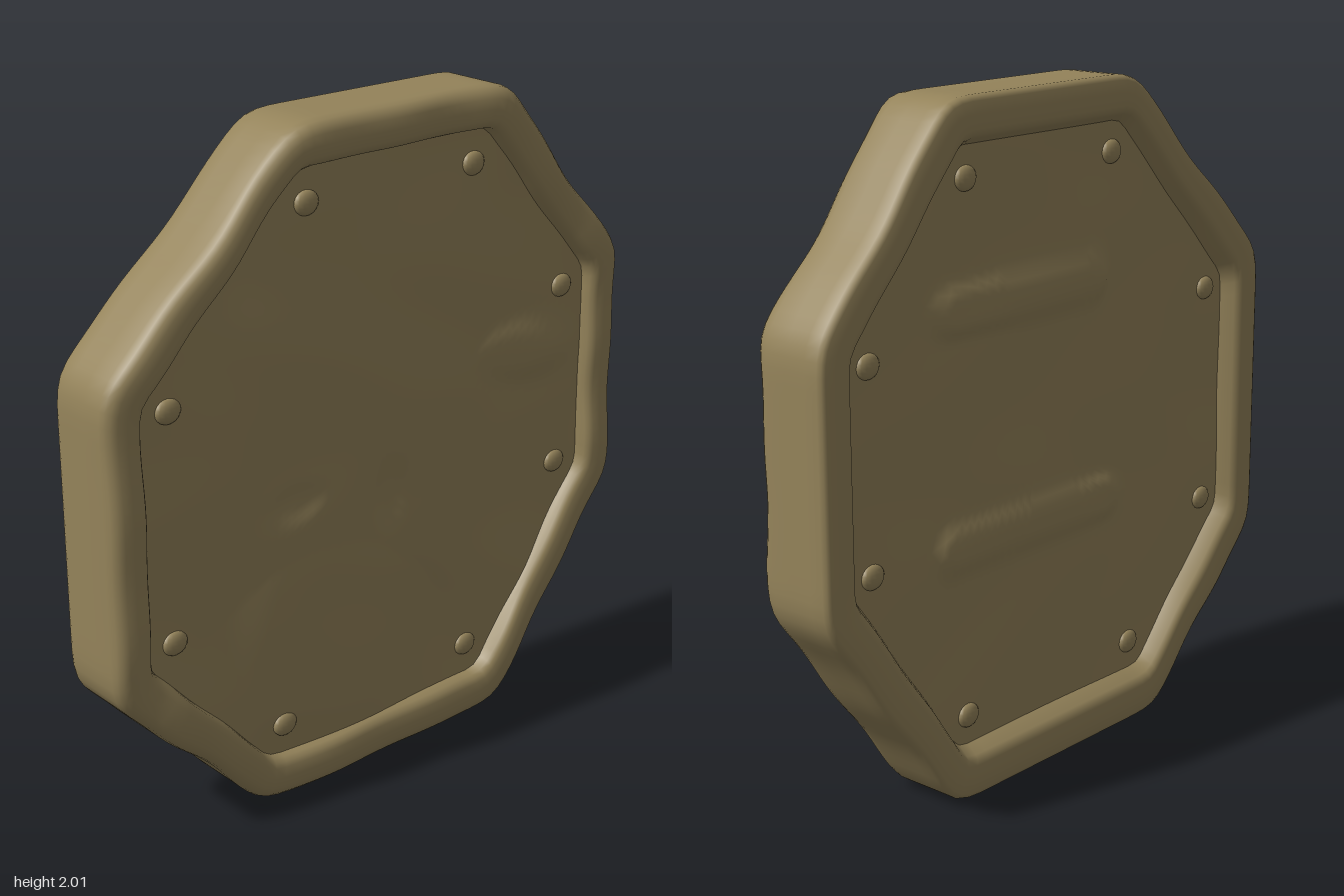
import * as THREE from 'three';
import { toCreasedNormals } from 'three/addons/utils/BufferGeometryUtils.js';

const SEG = 20; // samples per octagon edge
const OUTER = [[0.31, 2.005], [-0.47, 2.005], [-0.955, 1.43], [-0.955, 0.66], [-0.47, -0.005], [0.45, -0.005], [0.95, 0.49], [0.95, 1.4]];
const INNER = [[0.3, 1.885], [-0.41, 1.885], [-0.84, 1.38], [-0.84, 0.72], [-0.42, 0.125], [0.42, 0.125], [0.835, 0.56], [0.835, 1.34]];

// Sampled octagon outline in (z, y) with softened, slightly worn corners
function outline(corners, smooth, wear) {
  let pts = [];
  corners.forEach((a, i) => {
    const b = corners[(i + 1) % 8];
    for (let k = 0; k < SEG; k++) {
      const t = k / SEG, z = a[0] + (b[0] - a[0]) * t, y = a[1] + (b[1] - a[1]) * t;
      // diagonal edges are more worn than the straight ones
      const w = 1 - wear * (i % 2) * Math.sin(Math.PI * t) * (0.6 + Math.sin(t * 11 + i * 2));
      pts.push([z * w, 1 + (y - 1) * w]);
    }
  });
  for (let n = 0; n < smooth; n++) {
    pts = pts.map((p, i) => {
      const q = pts[(i + pts.length - 1) % pts.length], r = pts[(i + 1) % pts.length];
      return [(q[0] + 2 * p[0] + r[0]) / 4, (q[1] + 2 * p[1] + r[1]) / 4];
    });
  }
  return pts;
}

const outer = outline(OUTER, 3, 0.009);
const inner = outline(INNER, 1, 0.004);
const COUNT = outer.length;

// Skin a list of closed rings, each an array of [x, y, z]
function loft(rings) {
  const pos = rings.flat(2), idx = [];
  for (let i = 0; i < rings.length - 1; i++) {
    for (let j = 0; j < COUNT; j++) {
      const k = (j + 1) % COUNT;
      const a = i * COUNT + j, c = i * COUNT + k, b = a + COUNT, d = c + COUNT;
      idx.push(a, c, b, c, d, b);
    }
  }
  const g = new THREE.BufferGeometry();
  g.setAttribute('position', new THREE.Float32BufferAttribute(pos, 3));
  g.setIndex(idx);
  return toCreasedNormals(g, 0.75);
}

// Relief helpers
const bump = (z, y, cz, cy, rz, ry) => Math.exp(-Math.pow(((z - cz) / rz) ** 2 + ((y - cy) / ry) ** 2, 2));
const uneven = (z, y) => 0.0025 * (Math.sin(z * 9 + 2 * Math.sin(y * 7)) + Math.sin(y * 12 - z * 5));
function ridge(z, y, z0, z1, cy, half) {
  const dz = Math.max(z0 - z, z - z1, 0);
  return 1 - THREE.MathUtils.smoothstep(Math.hypot(dz, y - cy), half * 0.4, half);
}

// Obverse: large worn mound with a brow ridge and a tapering base
function obverse(z, y) {
  const mound = Math.max(
    bump(z, y, 0.07, 1.12, 0.56, 0.6),
    bump(z, y, 0.18, 0.5, 0.34, 0.4),
    0.8 * bump(z - (y - 1.15) * 0.8, y, -0.55, 1.17, 0.22, 0.1));
  const pits = bump(z, y, 0.32, 0.92, 0.09, 0.05) + bump(z, y, -0.03, 0.85, 0.06, 0.1);
  return 0.07 + 0.03 * mound - 0.008 * pits + uneven(z, y);
}

// Reverse: flat field with two plain raised bars
function reverse(z, y) {
  const bars = Math.max(ridge(z, y, -0.42, 0.18, 1.42, 0.09), ridge(z, y, -0.42, 0.24, 0.74, 0.09));
  return -0.08 - 0.018 * bars + 0.4 * uneven(z, y);
}

// Face disc from the centre out to the recess edge
function faceRings(height) {
  const rings = [];
  for (let n = 0; n <= 32; n++) {
    const t = (n / 32) * 1.005;
    rings.push(inner.map(([pz, py]) => {
      const z = pz * t, y = 1 + (py - 1) * t;
      return [height(z, y), y, z];
    }));
  }
  return rings;
}

// Rim cross-section: [fraction from outer to inner outline, x]
const RIM = [
  [1.08, 0.06], [1.04, 0.078], [1, 0.1], [0.92, 0.112], [0.8, 0.118], [0.55, 0.12], [0.3, 0.118], [0.14, 0.11],
  [0.04, 0.095], [0, 0.07], [0, 0], [0, -0.07], [0, -0.115], [0.04, -0.128], [0.13, -0.134],
  [0.4, -0.135], [0.75, -0.135], [0.88, -0.131], [0.96, -0.12], [1.12, -0.085], [1.18, -0.07],
];

function rimRings() {
  return RIM.map(([s, x]) => outer.map(([oz, oy], j) => {
    const z = oz + (inner[j][0] - oz) * s, y = oy + (inner[j][1] - oy) * s;
    const u = (j / COUNT) * Math.PI * 2;
    // battered waviness on the obverse side only
    const wave = x > 0.09 ? 0.004 * (Math.sin(u * 9) + Math.sin(u * 17 + 1)) - 0.003 : 0;
    return [x + wave, y, z];
  }));
}

export function createModel() {
  const group = new THREE.Group();
  group.name = 'octagonalCoin';
  const bronze = new THREE.MeshStandardMaterial({ color: 0x94835a });
  const add = (name, geometry) => {
    const mesh = new THREE.Mesh(geometry, bronze);
    mesh.name = name;
    group.add(mesh);
    return mesh;
  };

  add('rim', loft(rimRings()));
  add('obverseFace', loft(faceRings(obverse)));
  add('reverseFace', loft(faceRings(reverse).reverse()));

  // Small worn studs inside each corner, on both faces
  const studGeometry = new THREE.SphereGeometry(1, 14, 10);
  INNER.forEach(([cz, cy]) => {
    const z = cz * 0.88, y = 1 + (cy - 1) * 0.88;
    [[obverse, 'obverseStud'], [reverse, 'reverseStud']].forEach(([height, name]) => {
      const stud = add(name, studGeometry);
      stud.position.set(height(z, y), y, z);
      stud.scale.set(0.018, 0.036, 0.042);
    });
  });
  return group;
}
